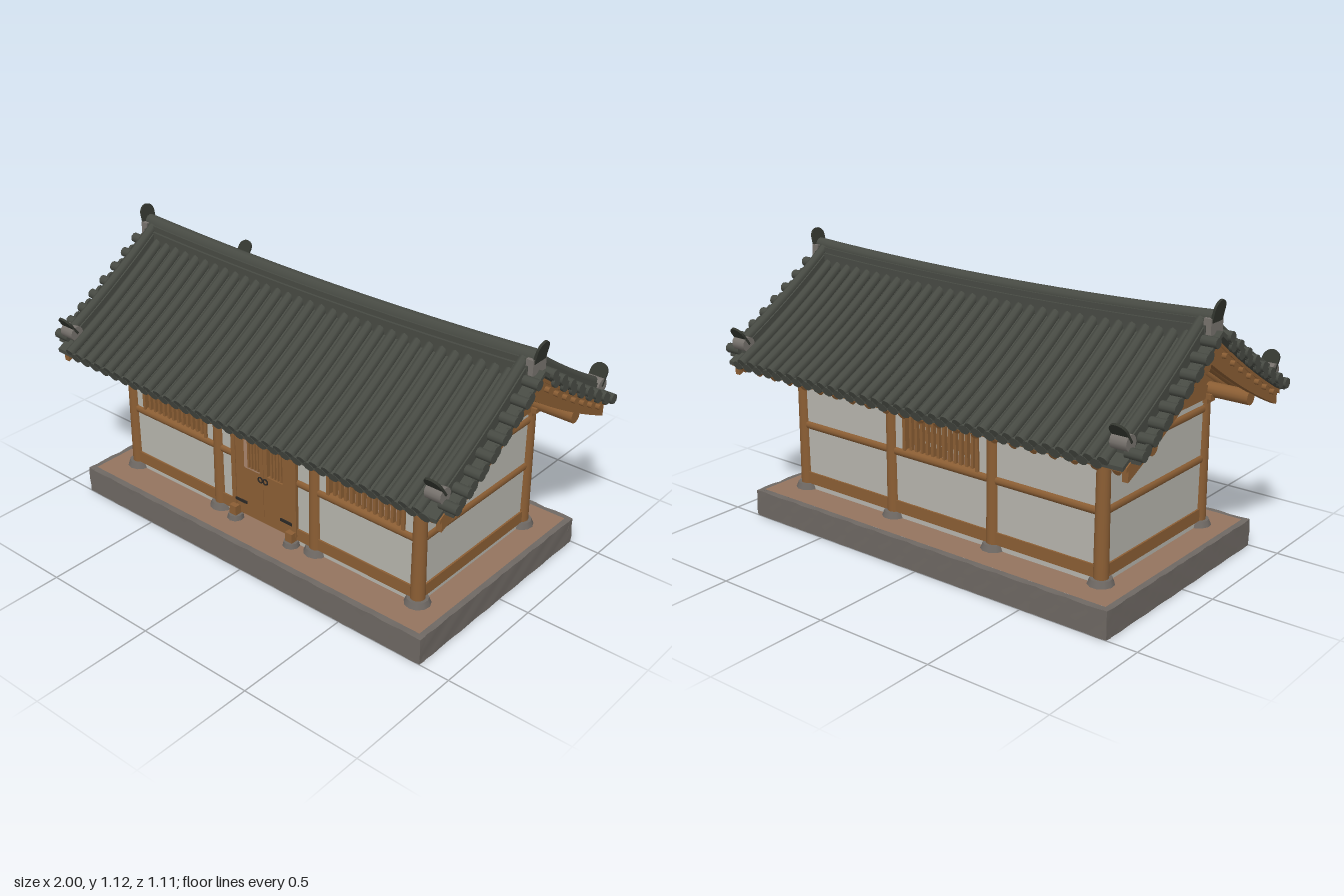
import * as THREE from 'three';

const mat = (name, color, extra = {}) => Object.assign(new THREE.MeshStandardMaterial({ color, ...extra }), { name });

export function createModel() {
  const tile = mat('roof tile', 0x474a43);
  const darkTile = mat('dark ornament tile', 0x33362f);
  const mortar = mat('grey mortar', 0x77726d);
  const wood = mat('timber', 0x8b5e34);
  const plaster = mat('plaster', 0xb7b5ad);
  const stone = mat('stone', 0x6e6863);
  const earth = mat('earth floor', 0x94745f, { side: THREE.DoubleSide });
  const iron = mat('iron', 0x2b2825);

  const model = new THREE.Group();
  const group = (name, parent = model) => {
    const g = new THREE.Group();
    g.name = name;
    parent.add(g);
    return g;
  };
  const add = (parent, name, geo, m, x = 0, y = 0, z = 0) => {
    const mesh = new THREE.Mesh(geo, m);
    mesh.name = name;
    mesh.position.set(x, y, z);
    parent.add(mesh);
    return mesh;
  };
  const box = (p, name, m, w, h, d, x, y, z) => add(p, name, new THREE.BoxGeometry(w, h, d), m, x, y, z);

  // Roof curve: height over z, and the lift of ridge and eaves towards the gables
  const T = z => 0.98 - 0.71 * Math.abs(z) + 0.2 * z * z;
  const lift = (x, z) => x * x * (0.03 - 0.033 * Math.min(Math.abs(z), 0.54));
  const bend = geo => {
    const p = geo.attributes.position;
    for (let i = 0; i < p.count; i++) p.setY(i, p.getY(i) + lift(p.getX(i), p.getZ(i)));
    geo.computeVertexNormals();
    return geo;
  };
  // Solid that follows both slopes, between two offsets from the roof curve
  const slopeBand = (x0, x1, zEnd, lo, hi, steps = 1) => {
    const n = 24, pts = [];
    for (let i = 0; i <= n; i++) {
      const z = zEnd * (2 * i / n - 1);
      pts.push(new THREE.Vector2(z, T(z) + lo(Math.abs(z))));
    }
    for (let i = n; i >= 0; i--) {
      const z = zEnd * (2 * i / n - 1);
      pts.push(new THREE.Vector2(z, T(z) + hi(Math.abs(z))));
    }
    const g = new THREE.ExtrudeGeometry(new THREE.Shape(pts), { depth: x1 - x0, steps, bevelEnabled: false });
    return bend(g.rotateY(-Math.PI / 2).translate(x1, 0, 0));
  };
  const slopeTube = (x, s, off, r, z0, z1, sides = 8) => {
    const pts = [0, 1, 2, 3, 4].map(i => {
      const z = z0 + (z1 - z0) * i / 4;
      return new THREE.Vector3(x, T(z) + off + lift(x, z), s * z);
    });
    return new THREE.TubeGeometry(new THREE.CatmullRomCurve3(pts), 8, r, sides);
  };
  const disc = (r, len, sides = 10) => new THREE.CylinderGeometry(r, r, len, sides);
  const round = (shapeW, h, d) => {
    const r = shapeW / 2, s = new THREE.Shape();
    s.moveTo(-r, 0);
    s.lineTo(r, 0);
    s.lineTo(r, h - r);
    s.absarc(0, h - r, r, 0, Math.PI);
    return new THREE.ExtrudeGeometry(s, { depth: d, bevelEnabled: false, curveSegments: 10 });
  };

  // Stone platform: open rough-hewn shell with an earth floor
  const rough = geo => {
    const p = geo.attributes.position;
    for (let i = 0; i < p.count; i++) {
      const x = p.getX(i), y = p.getY(i), z = p.getZ(i);
      const k = 0.003 * Math.sin(x * 41 + z * 57 + y * 83);
      p.setXYZ(i, x - Math.sign(x) * Math.abs(k), y + (y > 0.01 ? k * 0.7 : 0), z - Math.sign(z) * Math.abs(k));
    }
    geo.computeVertexNormals();
    return geo;
  };
  const base = group('platform');
  for (const s of [1, -1]) {
    add(base, 'platformLongSide', rough(new THREE.BoxGeometry(1.75, 0.11, 0.03, 40, 4, 1).translate(0, 0.055, s * 0.487)), stone);
    add(base, 'platformShortSide', rough(new THREE.BoxGeometry(0.03, 0.11, 1, 1, 4, 24).translate(s * 0.86, 0.055, 0)), stone);
  }
  add(base, 'floor', new THREE.PlaneGeometry(1.7, 0.95).rotateX(-Math.PI / 2), earth, 0, 0.112, 0);

  // Columns with foot stones and bracket blocks
  const frame = group('columns');
  for (const x of [-0.735, -0.25, 0.25, 0.735]) for (const z of [-0.335, 0.335]) {
    add(frame, 'footStone', new THREE.CylinderGeometry(0.042, 0.06, 0.045, 11), stone, x, 0.113, z);
    add(frame, 'column', new THREE.CylinderGeometry(0.025, 0.029, 0.51, 18), wood, x, 0.385, z);
    box(frame, 'bracketBlock', wood, 0.06, 0.022, 0.06, x, 0.63, z);
    box(frame, 'bracketArm', wood, 0.1, 0.02, 0.075, x, 0.65, z);
  }

  // Wall bay facing +z: sill, rails, plaster and an optional barred window
  const bay = (name, L, window, x, z, turn = 0) => {
    const g = group(name);
    g.position.set(x, 0, z);
    g.rotation.y = turn;
    box(g, 'footing', plaster, L, 0.035, 0.02, 0, 0.12, 0);
    box(g, 'sill', wood, L, 0.05, 0.035, 0, 0.16, 0);
    box(g, 'lowerPlaster', plaster, L, 0.2, 0.02, 0, 0.285, 0);
    add(g, 'middleRail', new THREE.CylinderGeometry(0.02, 0.02, L, 10).rotateZ(Math.PI / 2), wood, 0, 0.39, 0);
    add(g, 'topRail', new THREE.CylinderGeometry(0.02, 0.02, L, 10).rotateZ(Math.PI / 2), wood, 0, 0.593, 0);
    box(g, 'topPlaster', plaster, L, 0.06, 0.02, 0, 0.635, 0);
    if (!window) {
      box(g, 'upperPlaster', plaster, L, 0.18, 0.02, 0, 0.49, 0);
      return;
    }
    const W = L - 0.1;
    for (const s of [1, -1]) {
      box(g, 'windowSidePlaster', plaster, 0.04, 0.18, 0.02, s * (L / 2 - 0.02), 0.49, 0);
      box(g, 'windowPost', wood, 0.014, 0.18, 0.03, s * (W / 2), 0.49, 0);
    }
    for (let i = 1; i < 13; i++) box(g, 'windowBar', wood, 0.012, 0.18, 0.016, -W / 2 + W * i / 13, 0.49, 0);
  };
  for (const s of [1, -1]) {
    bay('frontSideBay', 0.45, true, s * 0.4925, 0.335);
    bay('backSideBay', 0.45, false, s * 0.4925, -0.335, Math.PI);
    bay('doorSidePanel', 0.08, false, s * 0.195, 0.335);
    bay('gableWall', 0.63, false, s * 0.735, 0, s * Math.PI / 2);
  }
  bay('backCentreBay', 0.46, true, 0, -0.335, Math.PI);

  // Door: two leaves with barred openings, frame, hinges and ring
  const door = group('door');
  for (const s of [1, -1]) {
    const leaf = new THREE.Shape([[0.001, 0.17], [0.145, 0.17], [0.145, 0.575], [0.001, 0.575]].map(p => new THREE.Vector2(s * p[0], p[1])));
    leaf.holes.push(new THREE.Path([[0.02, 0.36], [0.1, 0.36], [0.1, 0.5], [0.02, 0.5]].map(p => new THREE.Vector2(s * p[0], p[1]))));
    add(door, 'doorLeaf', new THREE.ExtrudeGeometry(leaf, { depth: 0.02, bevelEnabled: false }), wood, 0, 0, 0.337);
    for (let i = 1; i < 5; i++) box(door, 'doorBar', wood, 0.009, 0.14, 0.012, s * (0.02 + 0.016 * i), 0.43, 0.345);
    box(door, 'doorPost', wood, 0.022, 0.44, 0.045, s * 0.157, 0.37, 0.337);
    for (const y of [0.2, 0.56]) box(door, 'hinge', iron, 0.06, 0.011, 0.006, s * 0.118, y, 0.359);
    add(door, 'pullRing', new THREE.TorusGeometry(0.011, 0.003, 6, 14), iron, s * 0.013, 0.337, 0.36);
    box(door, 'pivotBlock', wood, 0.034, 0.04, 0.034, s * 0.148, 0.152, 0.365);
    add(door, 'pivotStone', new THREE.CylinderGeometry(0.03, 0.04, 0.04, 9), stone, s * 0.148, 0.112, 0.365);
  }
  box(door, 'threshold', wood, 0.31, 0.035, 0.035, 0, 0.155, 0.335);
  box(door, 'lintel', wood, 0.32, 0.035, 0.045, 0, 0.593, 0.337);
  box(door, 'lintelPlaster', plaster, 0.32, 0.05, 0.02, 0, 0.635, 0.335);

  // Purlins and gable trusses
  const truss = group('gableFrame');
  for (const [y, z] of [[0.67, 0.335], [0.67, -0.335], [0.875, 0]])
    add(truss, 'purlin', disc(0.029, 1.86, 14).rotateZ(Math.PI / 2), wood, 0, y, z);
  const beam = new THREE.Shape([[-0.31, 0.64], [0.31, 0.64], [0.31, 0.69], [0.25, 0.73], [-0.25, 0.73], [-0.31, 0.69]].map(p => new THREE.Vector2(...p)));
  const gable = new THREE.Shape([[-0.34, 0.66], [0.34, 0.66], [0.34, 0.7], [0, 0.91], [-0.34, 0.7]].map(p => new THREE.Vector2(...p)));
  const panel = (shape, d) => new THREE.ExtrudeGeometry(shape, { depth: d, bevelEnabled: false }).translate(0, 0, -d / 2).rotateY(-Math.PI / 2);
  for (const s of [1, -1]) {
    const x = s * 0.735;
    add(truss, 'gableBeam', panel(beam, 0.055), wood, x);
    add(truss, 'gablePlaster', panel(gable, 0.02), plaster, x);
    box(truss, 'kingPost', wood, 0.04, 0.15, 0.026, x, 0.8, 0);
    box(truss, 'kingPostCap', wood, 0.05, 0.02, 0.05, x, 0.855, 0);
    for (const t of [1, -1]) {
      box(truss, 'strut', wood, 0.036, 0.19, 0.022, x, 0.79, t * 0.085).rotation.x = -t * 0.79;
      box(truss, 'principalRafter', wood, 0.036, 0.42, 0.03, x, 0.79, t * 0.18).rotation.x = -t * 1.02;
    }
  }

  // Roof deck, rafters and bargeboards
  const roof = group('roof');
  add(roof, 'roofDeck', slopeBand(-0.95, 0.95, 0.525, () => -0.032, () => -0.014, 12), wood);
  add(roof, 'tileBed', slopeBand(-0.945, 0.945, 0.54, () => -0.015, () => 0, 12), tile);
  for (const s of [1, -1]) {
    const x = s * 0.935;
    add(roof, 'bargeboard', slopeBand(x - 0.012, x + 0.012, 0.51, z => -0.125 + 0.09 * z, () => -0.015), wood);
    add(roof, 'gableTileBed', slopeBand(s * 0.965 - 0.02, s * 0.965 + 0.02, 0.5, () => -0.018, () => 0), tile);
    add(roof, 'descendingRidge', slopeBand(s * 0.91 - 0.025, s * 0.91 + 0.025, 0.49, () => 0, () => 0.05), tile);
    for (let i = 0; i < 22; i++) {
      const rx = -0.9 + 1.8 * i / 21;
      add(roof, 'rafter', slopeTube(rx, s, -0.05, 0.017, 0.01, 0.505), wood);
      add(roof, 'rafterEnd', disc(0.017, 0.01).rotateX(s * (Math.PI / 2 + 0.5)), wood, rx, T(0.505) - 0.05 + lift(rx, 0.505), s * 0.505);
    }
  }

  // Round tile ribs with eave discs and drip tiles between them
  for (const s of [1, -1]) {
    for (let i = 0; i < 32; i++) {
      const x = -0.868 + 0.056 * i, y = T(0.54) + lift(x, 0.54);
      add(roof, 'tileRib', slopeTube(x, s, 0.01, 0.02, 0.02, 0.54), tile);
      add(roof, 'eaveDisc', disc(0.021, 0.012).rotateX(s * (Math.PI / 2 + 0.45)), tile, x, y + 0.008, s * 0.54);
      add(roof, 'dripTile', disc(0.024, 0.01).scale(1, 1, 0.8).rotateX(s * (Math.PI / 2 + 0.3)), tile, x + 0.028, y - 0.008, s * 0.537);
    }
    // Gable edge tiles, pegs, descending ridge cap and end ornaments
    for (const t of [1, -1]) {
      for (let i = 0; i < 8; i++) {
        const z = 0.05 + 0.063 * i, y = T(z) + lift(0.96, z);
        add(roof, 'gableTile', disc(0.02, 0.072).rotateZ(Math.PI / 2), tile, t * 0.962, y + 0.008, s * z);
        if (i < 7) {
          add(roof, 'gableDripTile', disc(0.022, 0.012).rotateZ(Math.PI / 2), tile, t * 0.982, T(z + 0.03) + 0.012, s * (z + 0.03));
          add(roof, 'bargeboardPeg', disc(0.011, 0.03, 6).rotateZ(Math.PI / 2), wood, t * 0.95, T(z + 0.025) - 0.03, s * (z + 0.025));
        }
      }
      const x = t * 0.91;
      add(roof, 'descendingRidgeCap', slopeTube(x, s, 0.052, 0.02, 0.02, 0.49), tile);
      add(roof, 'ridgeFoot', disc(0.03, 0.066, 14).rotateZ(Math.PI / 2), mortar, x, 0.735, s * 0.492);
      const ornament = add(roof, 'eaveOrnament', round(0.07, 0.085, 0.009).translate(0, 0, -0.0045), darkTile, x, 0.735, s * 0.488);
      ornament.rotation.x = s * 0.6;
    }
  }

  // Main ridge: stacked courses, round cap and upright end plates
  const ridge = group('mainRidge');
  const course = (name, h, d, y) => add(ridge, name, bend(new THREE.BoxGeometry(1.88, h, d, 20, 1, 1).translate(0, y, 0)), tile);
  course('lowerCourse', 0.06, 0.09, 0.975);
  course('upperCourse', 0.022, 0.07, 1.016);
  add(ridge, 'ridgeCap', bend(new THREE.CylinderGeometry(0.027, 0.027, 1.9, 12, 20).rotateZ(Math.PI / 2).translate(0, 1.026, 0)), tile);
  for (const s of [1, -1]) {
    box(ridge, 'ridgeEnd', mortar, 0.03, 0.06, 0.082, s * 0.945, 1.025, 0);
    const plate = add(ridge, 'ridgeOrnament', round(0.07, 0.085, 0.009).translate(0, 0, -0.0045).rotateY(Math.PI / 2), darkTile, s * 0.955, 1.036, 0);
    plate.rotation.z = -s * 0.22;
  }
  return model;
}
